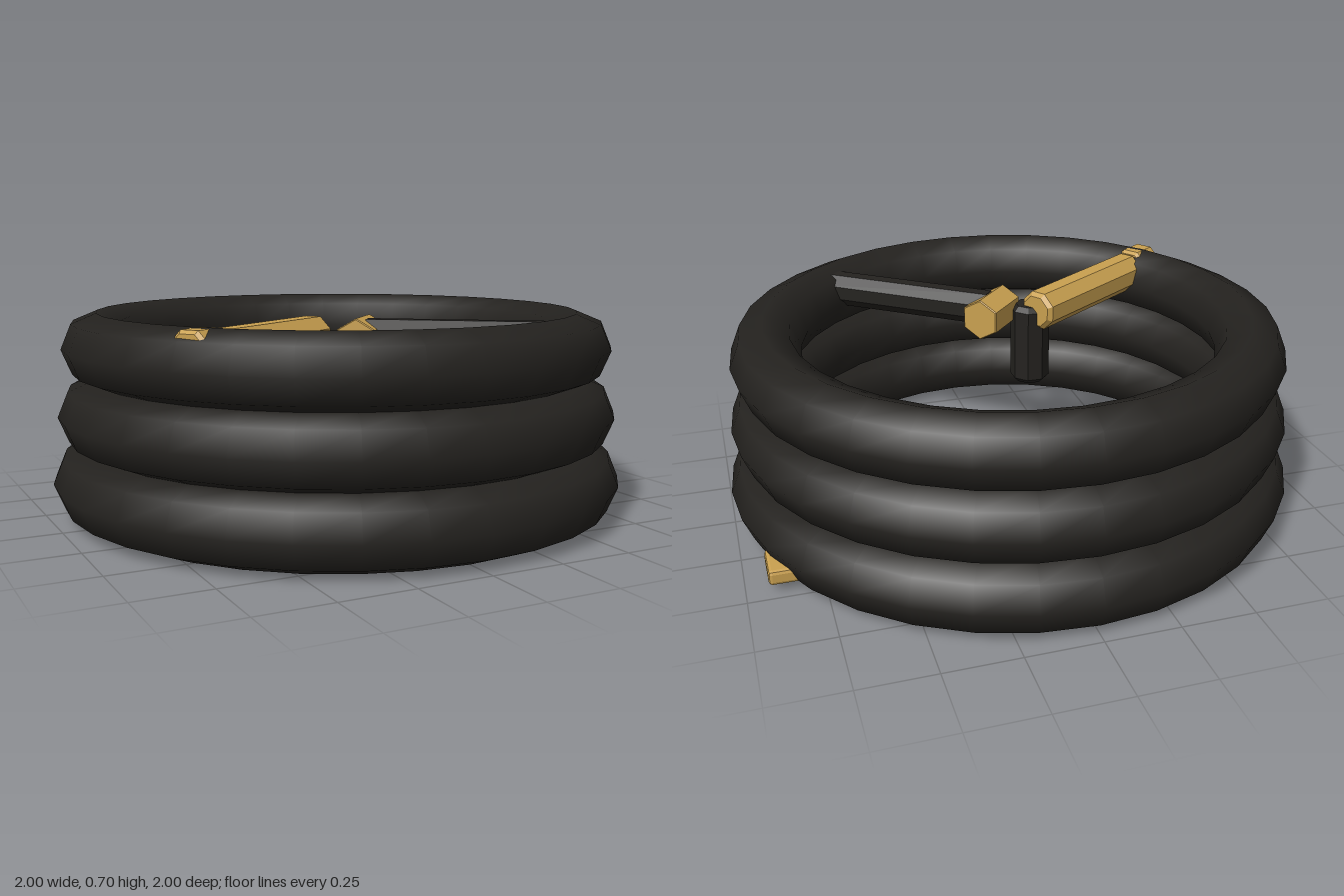
import * as THREE from 'three';
import { RoundedBoxGeometry } from 'three/addons/geometries/RoundedBoxGeometry.js';

export function createModel() {
  const group = new THREE.Group();
  const rubber = new THREE.MeshStandardMaterial({ color: 0x24221f });
  const grip = new THREE.MeshStandardMaterial({ color: 0x24221f, flatShading: true });
  const brass = new THREE.MeshStandardMaterial({ color: 0xc9a050, flatShading: true });

  const add = (name, geometry, material) => {
    const mesh = new THREE.Mesh(geometry, material);
    mesh.name = name;
    group.add(mesh);
    return mesh;
  };

  // Bevelled prism between two points; flatUp turns a face instead of an edge upward
  const rod = (name, from, to, r, sides, bevel, material, flatUp = true) => {
    const a = new THREE.Vector3(...from), b = new THREE.Vector3(...to);
    const len = a.distanceTo(b);
    const profile = [[0, 0], [r - bevel, 0], [r, bevel], [r, len - bevel], [r - bevel, len], [0, len]]
      .map(([x, y]) => new THREE.Vector2(x, y));
    const geometry = new THREE.LatheGeometry(profile, sides, flatUp ? Math.PI / sides : 0);
    const axis = b.sub(a).normalize();
    const up = Math.abs(axis.y) > 0.9 ? new THREE.Vector3(0, 0, 1) : new THREE.Vector3(0, 1, 0);
    const side = new THREE.Vector3().crossVectors(axis, up).normalize();
    geometry.applyMatrix4(new THREE.Matrix4().makeBasis(side, axis, up).setPosition(a));
    return add(name, geometry, material);
  };

  // Stacked hose loops, slightly smaller toward the top
  [[0.88, 0.12], [0.858, 0.35], [0.84, 0.58]].forEach(([radius, y], i) => {
    const loop = new THREE.TorusGeometry(radius, 0.12, 8, 32).rotateX(-Math.PI / 2);
    add(`hoseLoop${i + 1}`, loop, rubber).position.y = y;
  });

  // Spray nozzle: barrel, and a wider tip buried in the top loop
  const along = (t) => [-0.142 - 0.832 * t, 0.62, 0.124 + 0.555 * t];
  rod('nozzleBarrel', along(0), along(0.6), 0.073, 8, 0.015, brass);
  rod('nozzleTip', along(0.6), along(0.72), 0.083, 8, 0.012, brass);

  // Handle hanging below the barrel
  rod('handle', [-0.14, 0.33, 0.185], [-0.14, 0.63, 0.185], 0.072, 8, 0.018, grip);

  // Hose connector and the hose end leading back into the top loop
  rod('hoseConnector', [0.07, 0.61, 0.12], [-0.06, 0.61, 0.262], 0.075, 6, 0.004, brass, false);
  rod('hoseEnd', [0.0, 0.62, 0.2], [0.56, 0.62, 0.625], 0.063, 8, 0.015, grip);

  // Tap coupling on the lowest loop
  add('tapCoupling', new RoundedBoxGeometry(0.16, 0.052, 0.144, 1, 0.012), brass)
    .position.set(0.847, 0.055, -0.402);

  return group;
}
